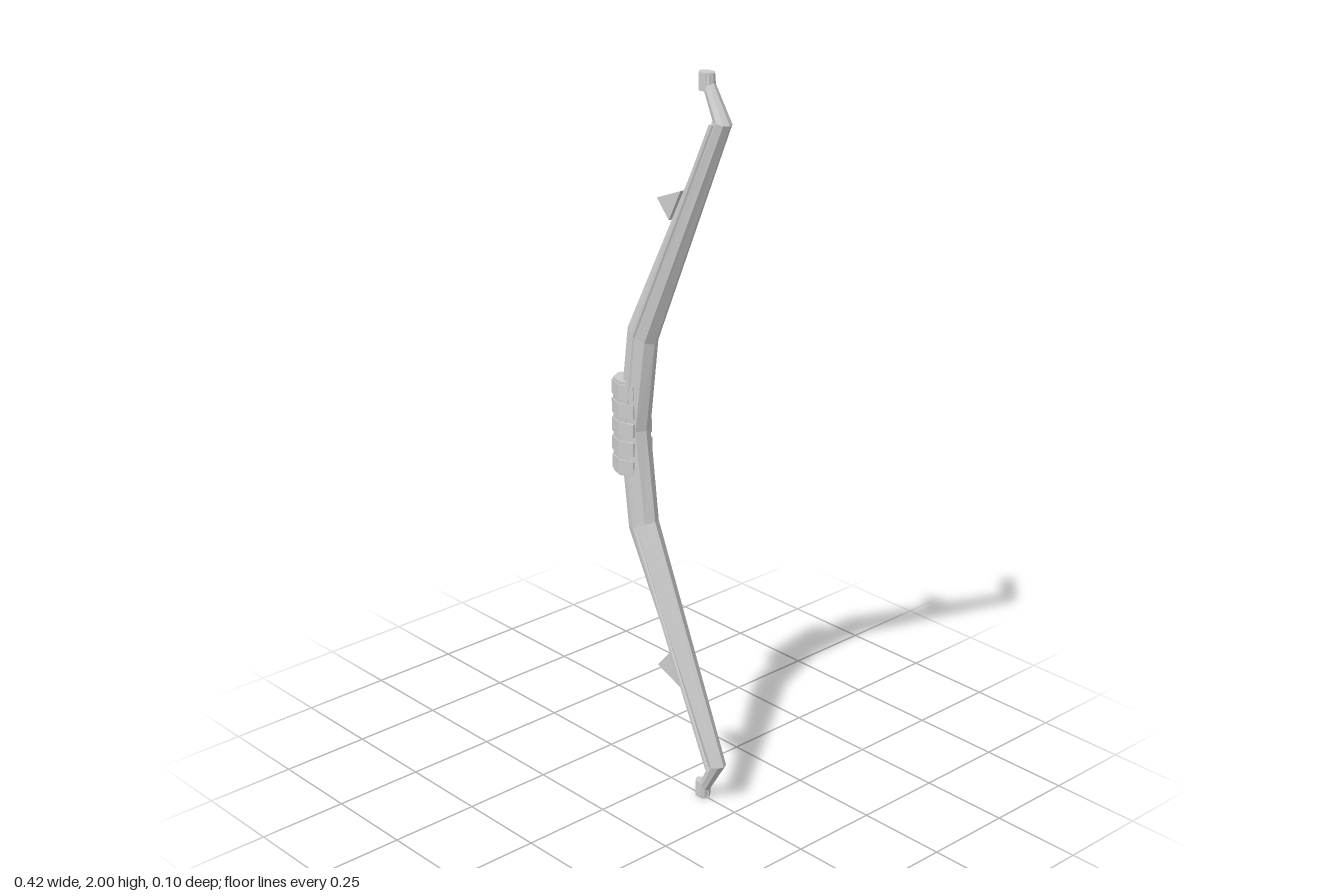
import * as THREE from 'three';

const material = new THREE.MeshStandardMaterial({ color: 0xcccccc, flatShading: true });

// Skins a stack of elliptical polygons, listed from bottom to top.
// Each section: [leftX, leftY, rightX, rightY, halfDepth, z, maxX]
function loft(name, sections, sides) {
  const pos = [], index = [];
  for (const [lx, ly, rx, ry, depth, z = 0, maxX = Infinity] of sections) {
    for (let i = 0; i < sides; i++) {
      const a = (i / sides) * Math.PI * 2, c = Math.cos(a);
      pos.push(
        Math.min((lx + rx) / 2 + ((rx - lx) / 2) * c, maxX),
        (ly + ry) / 2 + ((ry - ly) / 2) * c,
        z + depth * Math.sin(a)
      );
    }
  }
  for (let s = 0; s < sections.length - 1; s++) {
    for (let i = 0; i < sides; i++) {
      const j = (i + 1) % sides;
      const a = s * sides + i, b = s * sides + j, c = a + sides, d = b + sides;
      index.push(a, c, b, b, c, d);
    }
  }
  const top = (sections.length - 1) * sides;
  for (let i = 1; i < sides - 1; i++) {
    index.push(0, i, i + 1, top, top + i + 1, top + i);
  }
  const g = new THREE.BufferGeometry();
  g.setAttribute('position', new THREE.Float32BufferAttribute(pos, 3));
  g.setIndex(index);
  const flat = g.toNonIndexed();
  flat.computeVertexNormals();
  const mesh = new THREE.Mesh(flat, material);
  mesh.name = name;
  return mesh;
}

// Completes an upper half (starting at y = 1) with its mirror image below.
const mirrored = (upper) => [
  ...upper.slice(1).reverse().map(([lx, ly, rx, ry, ...rest]) => [lx, 2 - ly, rx, 2 - ry, ...rest]),
  ...upper,
];

export function createModel() {
  const bow = new THREE.Group();
  bow.name = 'bow';

  // Octagonal limbs in one continuous body, recurved at the tips
  bow.add(loft('limbs', mirrored([
    [-0.187, 1, -0.097, 1, 0.038],
    [-0.153, 1.29, -0.063, 1.25, 0.035],
    [0.155, 1.89, 0.208, 1.88, 0.022],
    [0.123, 1.955, 0.15, 1.975, 0.016],
    [0.12, 1.998, 0.148, 1.998, 0.015],
  ]), 8));

  // Thin cord along the front of the limbs
  bow.add(loft('cord', mirrored([
    [-0.151, 1, -0.135, 1, 0.004, 0.036],
    [-0.116, 1.27, -0.1, 1.27, 0.004, 0.036],
    [0.172, 1.885, 0.19, 1.885, 0.004, 0.036],
  ]), 6));

  // Grip: a core with five wraps, open towards the inner side
  const grip = new THREE.Group();
  grip.name = 'grip';
  const ring = (name, y0, y1, rx, rz, maxX) => {
    const section = (y) => [-0.153 - rx, y, -0.153 + rx, y, rz, 0, maxX];
    grip.add(loft(name, [section(y0), section(y1)], 8));
  };
  ring('gripCore', 0.87, 1.135, 0.054, 0.045, -0.13);
  for (let i = 0; i < 5; i++) {
    const y = 1.003 + (i - 2) * 0.053;
    ring('gripWrap', y - 0.019, y + 0.019, 0.059, 0.048, -0.108);
  }
  bow.add(grip);

  for (const side of [1, -1]) {
    const at = (y) => 1 + side * (y - 1);

    // Hexagonal nock at the tip
    const nockGeometry = new THREE.CylinderGeometry(1, 1, 0.046, 6).rotateY(Math.PI / 2);
    nockGeometry.rotateY(Math.PI).scale(0.024, 1, 0.0185);
    const nock = new THREE.Mesh(nockGeometry, material);
    nock.name = 'nock';
    nock.position.set(0.126, at(1.977), 0);
    bow.add(nock);

    // Triangular fin on the outer edge of the limb
    const shape = new THREE.Shape([
      new THREE.Vector2(-0.032, at(1.655)),
      new THREE.Vector2(0.012, at(1.605)),
      new THREE.Vector2(0.055, at(1.69)),
    ]);
    const fin = new THREE.Mesh(
      new THREE.ExtrudeGeometry(shape, { depth: 0.02, bevelEnabled: false }), material);
    fin.name = 'fin';
    bow.add(fin);
  }
  return bow;
}
